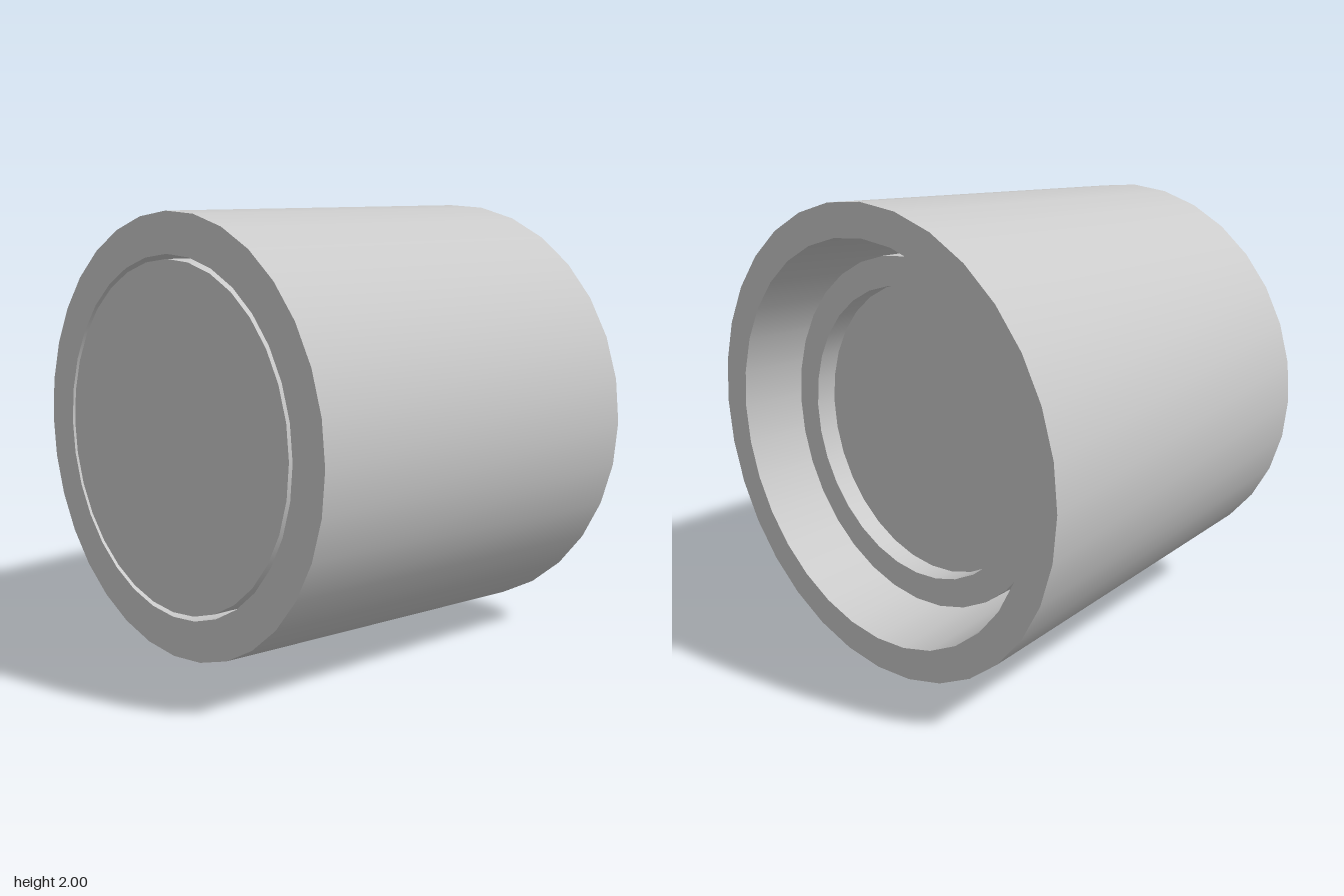
import * as THREE from 'three';
import { mergeGeometries } from 'three/addons/utils/BufferGeometryUtils.js';

const SIDES = 32;

// Turns a profile of [radius, z] points about the z axis; every corner stays sharp
function turned(name, profile, material) {
  const bands = [];
  for (let i = 0; i < profile.length - 1; i++) {
    const edge = [profile[i], profile[i + 1]].map(([r, z]) => new THREE.Vector2(r, z));
    bands.push(new THREE.LatheGeometry(edge, SIDES));
  }
  const geometry = mergeGeometries(bands);
  geometry.rotateX(Math.PI / 2);
  const mesh = new THREE.Mesh(geometry, material);
  mesh.name = name;
  mesh.position.y = 1;
  return mesh;
}

export function createModel() {
  const group = new THREE.Group();
  group.name = 'taperedSleeveWithPlug';
  const material = new THREE.MeshStandardMaterial({ color: 0xcccccc });

  // Outer sleeve: tapered outside, bore widening towards the back
  group.add(turned('sleeve', [
    [1, -0.875], [0.92, 0.875], [0.75, 0.875], [0.86, -0.875], [1, -0.875],
  ], material));

  // Inner plug: flush at the front, set in at the back with a shallow round recess
  group.add(turned('plug', [
    [0, -0.545], [0.635, -0.545], [0.635, -0.64], [0.76, -0.64], [0.73, 0.875], [0, 0.875],
  ], material));

  return group;
}
